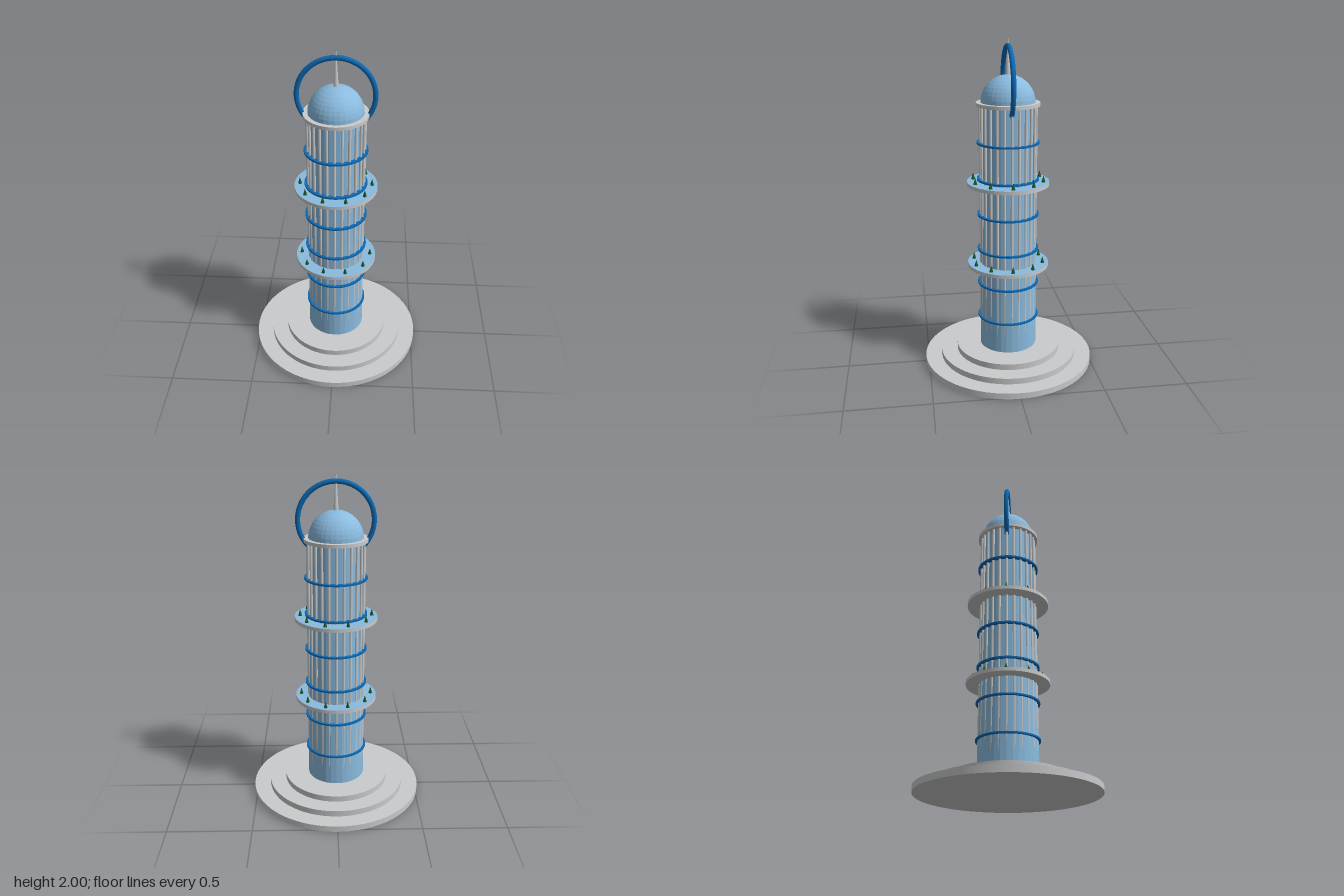
import * as THREE from 'three';

const mat = (name, color, flat = false) => {
  const m = new THREE.MeshStandardMaterial({ color, flatShading: flat });
  m.name = name;
  return m;
};

export function createModel() {
  const stone = mat('pale grey stone', 0xcacbcc);
  const glass = mat('light blue glass', 0x8abbdf, true);
  const blue = mat('strong blue metal', 0x0b69b4);
  const green = mat('dark green leaves', 0x1f5a2a, true);

  const model = new THREE.Group();
  model.name = 'tower';
  const add = (name, geometry, material, x = 0, y = 0, z = 0, parent = model) => {
    const mesh = new THREE.Mesh(geometry, material);
    mesh.name = name;
    mesh.position.set(x, y, z);
    parent.add(mesh);
    return mesh;
  };
  // Upright cylinder between two heights
  const disc = (name, r, y0, y1, material, segments = 48, rTop = r) =>
    add(name, new THREE.CylinderGeometry(rTop, r, y1 - y0, segments), material, 0, (y0 + y1) / 2, 0);

  // Stepped round base
  [0.52, 0.42, 0.32].forEach((r, i) =>
    disc('baseStep' + (i + 1), r, i * 0.0365, (i + 1) * 0.0365, stone, 64));

  // Slightly tapered glass shaft, from which straight columns emerge
  disc('shaft', 0.174, 0.1095, 1.615, glass, 32, 0.156);
  const columns = new THREE.Group();
  columns.name = 'columns';
  model.add(columns);
  const columnGeometry = new THREE.CylinderGeometry(0.008, 0.008, 1.5, 8);
  for (let i = 0; i < 24; i++) {
    const a = (i / 24) * Math.PI * 2;
    add('column', columnGeometry, stone, Math.sin(a) * 0.1645, 0.86, Math.cos(a) * 0.1645, columns);
  }

  // Thin bands around the shaft
  for (let i = 0; i < 6; i++) {
    const y = 0.299 + i * 0.218;
    disc('band', 0.185, y - 0.005, y + 0.005, blue);
  }

  // Two garden balconies, each with ten small trees
  const treeGeometry = new THREE.ConeGeometry(0.012, 0.04, 6);
  for (const y of [0.627, 1.135]) {
    disc('balcony', 0.245, y, y + 0.021, [stone, glass, stone]);
    const trees = new THREE.Group();
    trees.name = 'trees';
    model.add(trees);
    for (let i = 0; i < 10; i++) {
      const a = (i / 10) * Math.PI * 2;
      add('tree', treeGeometry, green, Math.cos(a) * 0.212, y + 0.041, Math.sin(a) * 0.212, trees);
    }
  }

  // Roof rim, dome and spire
  disc('roofRim', 0.186, 1.604, 1.624, stone);
  add('dome', new THREE.SphereGeometry(0.159, 32, 10, 0, Math.PI * 2, 0, Math.PI / 2), glass, 0, 1.622, 0);
  add('spire', new THREE.ConeGeometry(0.016, 0.24, 8), stone, 0, 1.88, 0);

  // Large open hoop over the dome, its ends sunk into the shaft
  const arc = Math.PI * 1.6;
  const hoop = add('hoop', new THREE.TorusGeometry(0.217, 0.0145, 12, 56, arc), blue, 0, 1.724, 0);
  hoop.rotation.z = Math.PI / 2 - arc / 2;

  return model;
}
